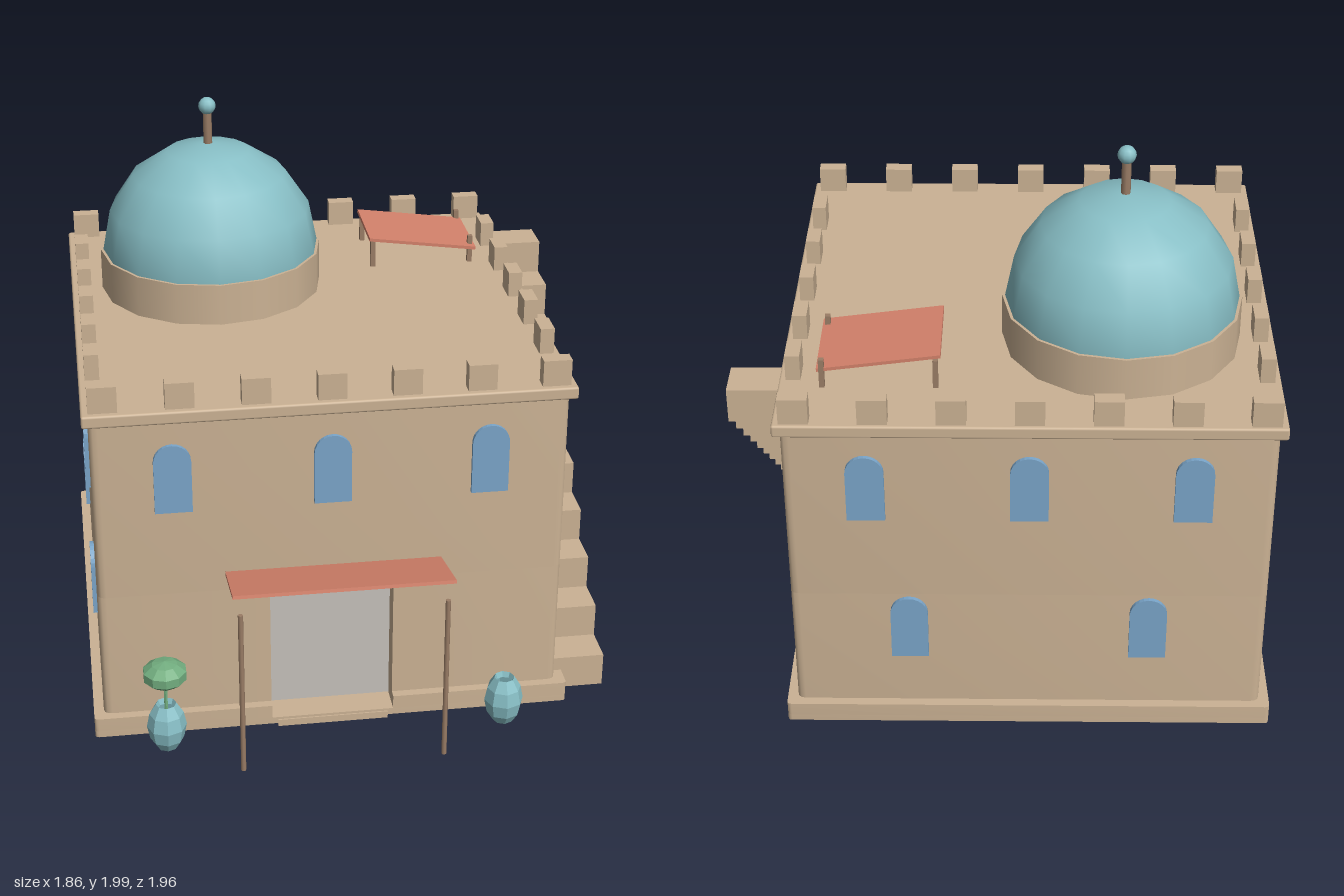
import * as THREE from 'three';
import { toCreasedNormals } from 'three/addons/utils/BufferGeometryUtils.js';
import { RoundedBoxGeometry } from 'three/addons/geometries/RoundedBoxGeometry.js';

const mat = (name, color, extra = {}) =>
  Object.assign(new THREE.MeshStandardMaterial({ color, ...extra }), { name });

export function createModel() {
  const model = new THREE.Group();
  model.name = 'domedHouse';

  const sand = mat('sandstone', 0xcbb294);
  const teal = mat('tealTile', 0x88bfc6);
  const pot = mat('tealGlaze', 0x88bfc6, { flatShading: true, side: THREE.DoubleSide });
  const blue = mat('windowBlue', 0x7aa5c9);
  const red = mat('awningRed', 0xd4826b);
  const wood = mat('wood', 0x9a7d66);
  const green = mat('leafGreen', 0x72ad7f, { flatShading: true });
  const grey = mat('doorGrey', 0xc5c1bb);

  const add = (name, geometry, material, x = 0, y = 0, z = 0) => {
    const mesh = new THREE.Mesh(geometry, material);
    mesh.name = name;
    mesh.position.set(x, y, z);
    model.add(mesh);
    return mesh;
  };
  const box = (name, m, x0, x1, y0, y1, z0, z1) =>
    add(name, new THREE.BoxGeometry(x1 - x0, y1 - y0, z1 - z0), m,
      (x0 + x1) / 2, (y0 + y1) / 2, (z0 + z1) / 2);
  const lathe = (points, sides) =>
    new THREE.LatheGeometry(points.map(([r, y]) => new THREE.Vector2(r, y)), sides);

  const CX = -0.08, CZ = -0.133;
  const DOOR = [-0.3, 0.135], RECESS = 0.6;

  // Rounded floor plan, optionally notched for the doorway, extruded upward
  const storey = (name, w, d, r, y0, y1, notched) => {
    const a = CX - w / 2, b = CX + w / 2, f = -(CZ + d / 2), k = -(CZ - d / 2);
    const s = new THREE.Shape();
    s.moveTo(a + r, f);
    if (notched) {
      s.lineTo(DOOR[0], f);
      s.lineTo(DOOR[0], -RECESS);
      s.lineTo(DOOR[1], -RECESS);
      s.lineTo(DOOR[1], f);
    }
    s.lineTo(b - r, f);
    s.quadraticCurveTo(b, f, b, f + r);
    s.lineTo(b, k - r);
    s.quadraticCurveTo(b, k, b - r, k);
    s.lineTo(a + r, k);
    s.quadraticCurveTo(a, k, a, k - r);
    s.lineTo(a, f + r);
    s.quadraticCurveTo(a, f, a + r, f);
    const g = new THREE.ExtrudeGeometry(s, { depth: y1 - y0, bevelEnabled: false, curveSegments: 3 });
    g.rotateX(-Math.PI / 2);
    add(name, toCreasedNormals(g, 0.7), sand, 0, y0, 0);
  };
  storey('plinthFoot', 1.7, 1.69, 0.015, 0.02, 0.045, false);
  storey('plinth', 1.7, 1.69, 0.015, 0.045, 0.095, true);
  storey('lowerWalls', 1.63, 1.625, 0.03, 0.045, 0.57, true);
  storey('upperWalls', 1.63, 1.625, 0.03, 0.57, 1.24, false);
  add('cornice', new RoundedBoxGeometry(1.675, 0.045, 1.67, 2, 0.008), sand, CX, 1.2555, CZ);

  // Battlements around the roof edge
  for (let i = -3; i <= 3; i++) {
    for (const z of [0.655, -0.93])
      add('merlon', new THREE.BoxGeometry(0.098, 0.1, 0.05), sand, CX + i * 0.255, 1.322, z);
    if (Math.abs(i) < 3)
      for (const x of [-0.87, 0.71])
        add('merlon', new THREE.BoxGeometry(0.05, 0.1, 0.098), sand, x, 1.322, -0.138 + i * 0.255);
  }

  // Dome with drum and finial
  const DX = -0.393, DZ = -0.39;
  add('drum', new THREE.CylinderGeometry(0.41, 0.41, 0.155, 16), sand, DX, 1.3525, DZ);
  add('dome', new THREE.SphereGeometry(0.4, 16, 4, 0, Math.PI * 2, 0, Math.PI / 2), teal, DX, 1.43, DZ);
  add('finialPole', new THREE.CylinderGeometry(0.016, 0.016, 0.14, 8), wood, DX, 1.885, DZ);
  add('finialBall', new THREE.SphereGeometry(0.032, 10, 8), teal, DX, 1.968, DZ);

  // Outer stair: ten blocks climbing along the wall
  for (let i = 0; i < 10; i++) {
    const z = 0.627 - i * 0.1382, y = 0.02 + i * 0.1255;
    box('stairBlock', sand, 0.73, 0.927, y, y + 0.1255, z - 0.1382, z);
  }

  // Arched windows
  const arch = new THREE.Shape();
  arch.moveTo(-0.064, 0);
  arch.lineTo(0.064, 0);
  arch.lineTo(0.064, 0.19);
  arch.absarc(0, 0.19, 0.064, 0, Math.PI, false);
  arch.closePath();
  const windowGeometry = new THREE.ExtrudeGeometry(arch,
    { depth: 0.022, bevelEnabled: false, curveSegments: 6 });
  const HIGH = 0.895, LOW = 0.305;
  const faces = [
    { turn: 0, at: (t) => [CX + t, 0.672], rows: [HIGH] },
    { turn: Math.PI, at: (t) => [CX + t, -0.938], rows: [HIGH, LOW] },
    { turn: -Math.PI / 2, at: (t) => [-0.888, CZ + t], rows: [HIGH, LOW] },
  ];
  for (const { turn, at, rows } of faces)
    for (const y of rows)
      for (const t of y === HIGH ? [-0.543, 0, 0.543] : [-0.41, 0.41]) {
        const [x, z] = at(t);
        add('archedWindow', windowGeometry, blue, x, y, z).rotation.y = turn;
      }

  // Doorway: panel, step, peaked lintel and hanging lamp
  box('doorPanel', grey, DOOR[0], DOOR[1], 0.045, 0.57, RECESS - 0.002, RECESS + 0.006);
  box('doorStep', sand, -0.28, 0.115, 0.01, 0.036, 0.6, 0.717);
  const peak = new THREE.Shape([[-0.28, 0.572], [0.115, 0.572], [0.115, 0.59], [-0.01, 0.59],
    [CX, 0.606], [-0.15, 0.59], [-0.28, 0.59]].map(([x, y]) => new THREE.Vector2(x, y)));
  add('lintel', new THREE.ExtrudeGeometry(peak, { depth: 0.035, bevelEnabled: false }), sand, 0, 0, 0.677);
  box('lampRail', teal, -0.23, 0.065, 0.564, 0.571, 0.63, 0.65);
  add('lamp', lathe([[0, 0.51], [0.025, 0.53], [0.042, 0.55], [0.042, 0.568], [0, 0.568]], 8),
    pot, CX, 0, 0.64);

  // Front awning, rising away from the wall, on two poles
  const awning = add('frontAwning', new THREE.BoxGeometry(0.752, 0.012, 0.284), red, CX, 0.688, 0.846);
  awning.rotation.x = -0.247;
  for (const x of [-0.43, 0.272])
    add('awningPole', new THREE.CylinderGeometry(0.009, 0.009, 0.625, 8), wood, x, 0.3325, 0.97);

  // Sloping rooftop shade on four posts
  const shade = add('roofShade', new THREE.BoxGeometry(0.415, 0.012, 0.315), red, 0.421, 1.371, -0.578);
  shade.rotation.z = -0.135;
  for (const x of [0.233, 0.61])
    for (const z of [-0.455, -0.73])
      add('shadePost', new THREE.BoxGeometry(0.018, 0.112, 0.018), wood, x, 1.328, z);

  // Glazed pots, one with a clipped shrub
  const potGeometry = lathe([[0, 0.01], [0.036, 0.012], [0.06, 0.05], [0.07, 0.1],
    [0.06, 0.15], [0.036, 0.19], [0.028, 0.17]], 8);
  for (const x of [-0.68, 0.522]) add('pot', potGeometry, pot, x, 0, 0.782);
  add('shrubStem', new THREE.CylinderGeometry(0.007, 0.007, 0.2, 6), green, -0.68, 0.18, 0.782);
  add('shrubCrown', lathe([[0, 0.26], [0.045, 0.272], [0.077, 0.298], [0.077, 0.33],
    [0.045, 0.354], [0, 0.364]], 10), green, -0.68, 0, 0.782);

  return model;
}
